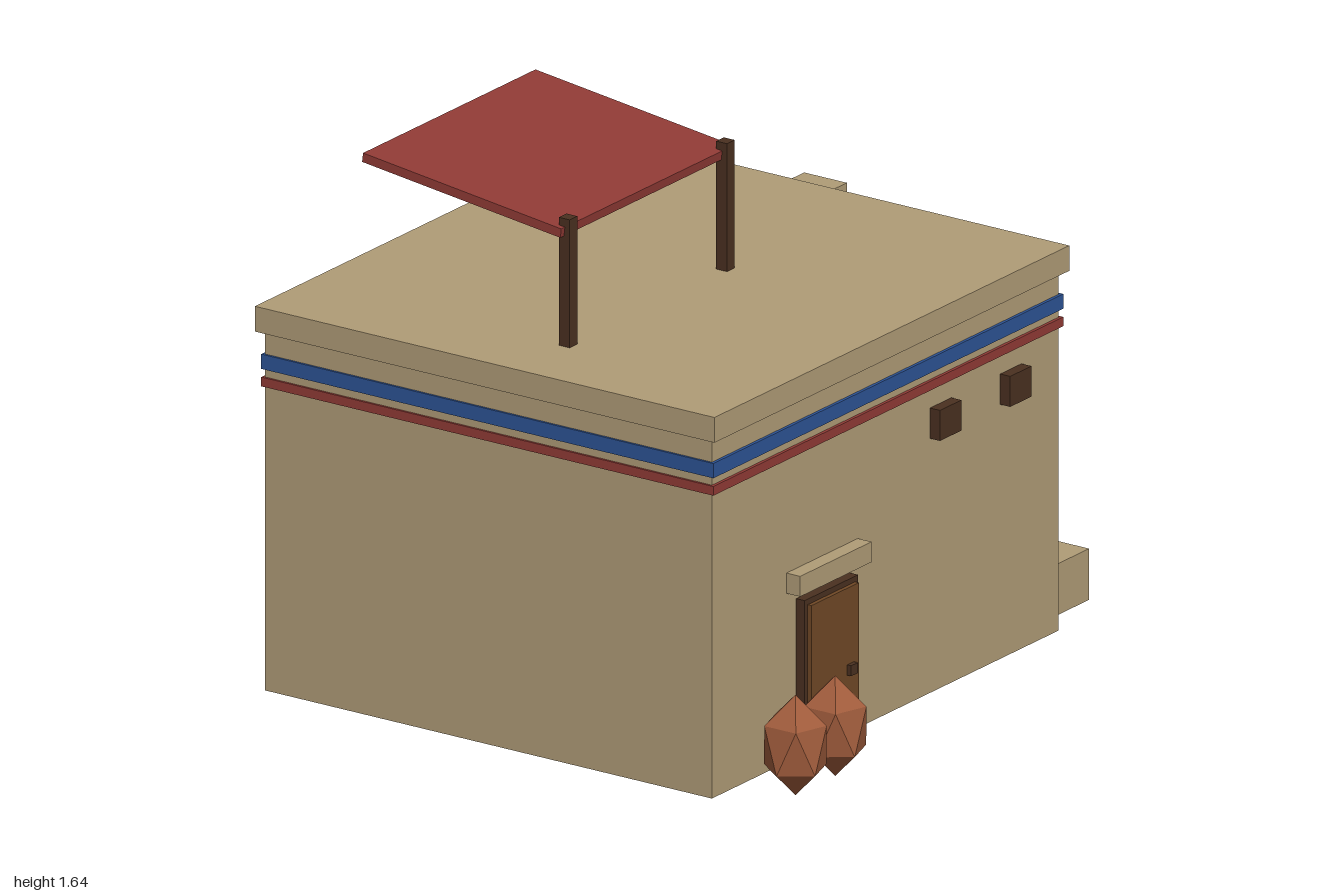
import * as THREE from 'three';

const mat = (name, color) => {
  const m = new THREE.MeshStandardMaterial({ color });
  m.name = name;
  return m;
};

export function createModel() {
  const adobe = mat('adobe', 0xb09c77);
  const blue = mat('blue paint', 0x2d5395);
  const red = mat('red', 0x913b36);
  const darkWood = mat('dark wood', 0x4a3020);
  const doorWood = mat('door wood', 0x704826);
  const clay = mat('clay', 0xa05c3c);

  const model = new THREE.Group();
  model.name = 'adobeHouse';

  // Box given by its lower and upper limits on each axis
  const box = (name, material, [x0, x1], [y0, y1], [z0, z1], parent = model) => {
    const mesh = new THREE.Mesh(new THREE.BoxGeometry(x1 - x0, y1 - y0, z1 - z0), material);
    mesh.position.set((x0 + x1) / 2, (y0 + y1) / 2, (z0 + z1) / 2);
    mesh.name = name;
    parent.add(mesh);
    return mesh;
  };

  // House body, roof slab and painted bands
  box('walls', adobe, [-0.98, 0.739], [0.015, 1.11], [-0.897, 0.67]);
  box('roofSlab', adobe, [-1, 0.76], [1.11, 1.187], [-0.918, 0.693]);
  box('blueBand', blue, [-0.987, 0.749], [0.995, 1.04], [-0.905, 0.68]);
  box('redBand', red, [-0.987, 0.749], [0.942, 0.97], [-0.905, 0.68]);

  // Door, frame, handle and lintel
  const door = new THREE.Group();
  door.name = 'door';
  model.add(door);
  box('doorFrame', darkWood, [-0.562, -0.297], [0.015, 0.5], [0.66, 0.7], door);
  box('doorPanel', doorWood, [-0.547, -0.312], [0.032, 0.483], [0.69, 0.713], door);
  box('doorHandle', darkWood, [-0.37, -0.337], [0.218, 0.25], [0.7, 0.727], door);
  box('lintel', adobe, [-0.61, -0.256], [0.53, 0.592], [0.66, 0.718], door);

  // Small windows
  for (const x of [0.155, 0.503]) {
    box('window', darkWood, [x - 0.053, x + 0.053], [0.79, 0.883], [0.66, 0.705]);
  }

  // Solid outside staircase, extruded from its stepped side profile
  const steps = 7, front = 0.593, back = -0.406, run = 0.1415, rise = 0.156, base = 0.015;
  const profile = new THREE.Shape();
  profile.moveTo(-front, base);
  for (let i = 0; i < steps; i++) {
    const top = base + rise * (i + 1);
    profile.lineTo(-front + run * i, top);
    profile.lineTo(i === steps - 1 ? -back : -front + run * (i + 1), top);
  }
  profile.lineTo(-back, base);
  const stairGeometry = new THREE.ExtrudeGeometry(profile, { depth: 0.25, bevelEnabled: false });
  stairGeometry.rotateY(Math.PI / 2);
  const stairs = new THREE.Mesh(stairGeometry, adobe);
  stairs.name = 'stairs';
  stairs.position.x = 0.75;
  model.add(stairs);

  // Roof awning on two posts
  for (const x of [-0.745, 0.035]) {
    box('awningPost', darkWood, [x - 0.019, x + 0.019], [1.18, 1.577], [-0.019, 0.019]);
  }
  const awning = box('awning', red, [-0.782, 0.073], [1.566, 1.594], [-0.697, 0.003]);
  awning.rotation.x = 0.122;

  // Faceted clay pots, each standing on a point
  const potGeometry = new THREE.IcosahedronGeometry(1, 0);
  potGeometry.rotateX(-Math.atan2((1 + Math.sqrt(5)) / 2, 1));
  potGeometry.rotateY(Math.PI / 2);
  potGeometry.scale(0.105, 0.153, 0.105);
  potGeometry.computeVertexNormals();
  for (const x of [-0.785, -0.588]) {
    const pot = new THREE.Mesh(potGeometry, clay);
    pot.name = 'clayPot';
    pot.position.set(x, 0.153, 0.825);
    model.add(pot);
  }

  return model;
}
